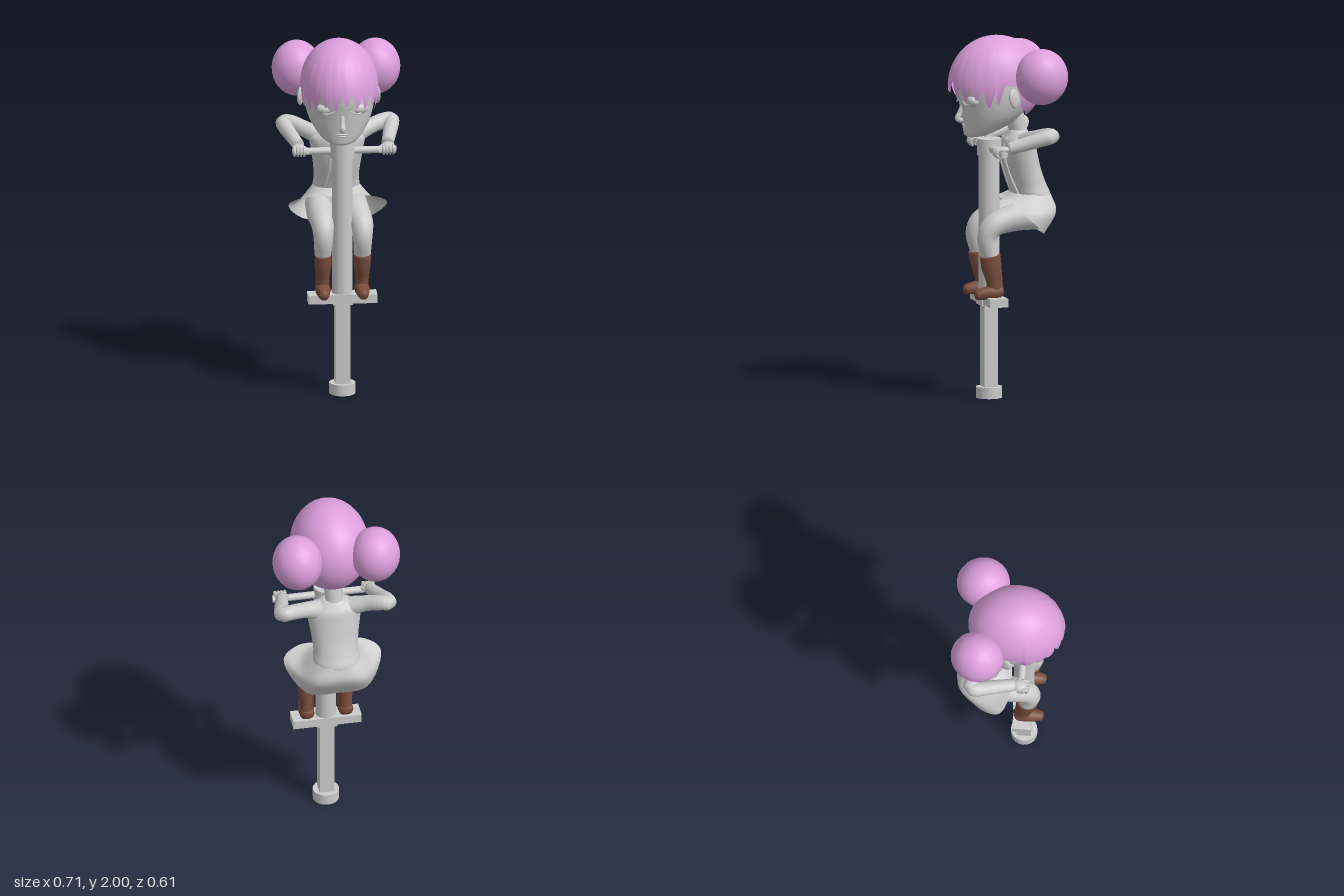
import * as THREE from 'three';

const V = (x, y, z) => new THREE.Vector3(x, y, z);
const grey = new THREE.MeshStandardMaterial({ color: 0xcccccc });
const greyOpen = new THREE.MeshStandardMaterial({ color: 0xcccccc, side: THREE.DoubleSide });
const pink = new THREE.MeshStandardMaterial({ color: 0xdda0dd });
const pinkOpen = new THREE.MeshStandardMaterial({ color: 0xdda0dd, side: THREE.DoubleSide });
const brown = new THREE.MeshStandardMaterial({ color: 0x7a4d3c });

// Skin a list of closed rings; ends are capped unless open
function loft(rings, open = false) {
  const n = rings[0].length, pos = [], idx = [];
  rings.forEach(r => r.forEach(p => pos.push(p.x, p.y, p.z)));
  for (let i = 0; i < rings.length - 1; i++)
    for (let j = 0; j < n; j++) {
      const a = i * n + j, b = i * n + (j + 1) % n;
      idx.push(a, b, a + n, b, b + n, a + n);
    }
  if (!open) [0, rings.length - 1].forEach((i, end) => {
    const c = V(0, 0, 0);
    rings[i].forEach(p => c.addScaledVector(p, 1 / n));
    const k = pos.length / 3;
    pos.push(c.x, c.y, c.z);
    for (let j = 0; j < n; j++) {
      const a = i * n + j, b = i * n + (j + 1) % n;
      if (end) idx.push(k, a, b); else idx.push(k, b, a);
    }
  });
  const g = new THREE.BufferGeometry();
  g.setAttribute('position', new THREE.Float32BufferAttribute(pos, 3));
  g.setIndex(idx);
  g.computeVertexNormals();
  return g;
}

// Body from rows of [y, half width, front z, back z], smoothed between rows
function body(rows, n = 32, steps = 36) {
  const a = new THREE.CatmullRomCurve3(rows.map(r => V(r[0], r[1], r[2])));
  const b = new THREE.CatmullRomCurve3(rows.map(r => V(r[0], r[1], r[3])));
  const rings = [];
  for (let i = 0; i <= steps; i++) {
    const p = a.getPoint(i / steps), q = b.getPoint(i / steps);
    rings.push(Array.from({ length: n }, (_, j) => {
      const t = j / n * Math.PI * 2;
      return V(p.y * Math.sin(t), p.x, (p.z + q.z) / 2 + (p.z - q.z) / 2 * Math.cos(t));
    }));
  }
  return loft(rings);
}

// Tube with a radius at each path point
function limb(points, radii, n = 16, steps = 24) {
  const curve = new THREE.CatmullRomCurve3(points, false, 'centripetal');
  const f = curve.computeFrenetFrames(steps), rings = [];
  for (let i = 0; i <= steps; i++) {
    const c = curve.getPointAt(i / steps);
    const t = curve.getUtoTmapping(i / steps) * (radii.length - 1);
    const k = Math.min(Math.floor(t), radii.length - 2);
    const r = THREE.MathUtils.lerp(radii[k], radii[k + 1], t - k);
    rings.push(Array.from({ length: n }, (_, j) => {
      const a = j / n * Math.PI * 2;
      return c.clone().addScaledVector(f.normals[i], r * Math.cos(a)).addScaledVector(f.binormals[i], r * Math.sin(a));
    }));
  }
  return loft(rings);
}

// Hair cap: a dome whose lower edge is cut into strands, ear gaps and nape
function hairCap() {
  const edge = [[0, 1.68], [0.6, 1.665], [1.2, 1.63], [1.4, 1.64], [1.52, 1.75], [1.78, 1.74], [2.0, 1.62], [2.4, 1.57], [3.2, 1.57]];
  const n = 180, steps = 24, rings = [];
  for (let i = 0; i <= steps; i++) {
    const t = Math.max(1 - i / steps, 0.004), ring = [];
    for (let j = 0; j < n; j++) {
      let a = j / n * Math.PI * 2;
      if (a > Math.PI) a -= Math.PI * 2;
      const d = Math.abs(a);
      const k = edge.findIndex(e => e[0] > d) - 1;
      let y = THREE.MathUtils.mapLinear(d, edge[k][0], edge[k + 1][0], edge[k][1], edge[k + 1][1]);
      let push = 1;
      if (d < 1.33) {
        const u = (a + 0.05) / 0.27 + 20;
        const gap = Math.abs((u - Math.floor(u)) * 2 - 1);
        y += 0.085 * Math.pow(gap, 1.3) + 0.014 * Math.sin(a * 9);
        push += 0.05 * t ** 4 + 0.035 * (0.5 - gap) * t * t;
      }
      const th = t * Math.acos((y - 1.75) / 0.25), r = Math.sin(th) * push;
      ring.push(V(0.213 * r * Math.sin(a), 1.75 + 0.25 * Math.cos(th), 0.03 + 0.26 * r * Math.cos(a)));
    }
    rings.push(ring);
  }
  return loft(rings, true);
}

// Skirt skinned over three half outlines, front to back
function skirt() {
  const halves = [
    [[0, 1.10, 0.01], [0.18, 1.10, 0.01], [0.27, 1.05, -0.04], [0.17, 0.92, -0.19], [0, 0.91, -0.21]],
    [[0, 1.11, -0.02], [0.14, 1.10, -0.03], [0.2, 1.05, -0.13], [0.14, 1.03, -0.265], [0, 1.04, -0.288]],
    [[0, 1.13, -0.05], [0.09, 1.13, -0.07], [0.128, 1.125, -0.15], [0.09, 1.12, -0.25], [0, 1.12, -0.268]],
  ];
  const loops = halves.map(h => {
    const right = h.map(p => V(...p));
    const left = right.slice(1, 4).reverse().map(p => V(-p.x, p.y, p.z));
    return new THREE.CatmullRomCurve3([...right, ...left], true);
  });
  const rings = Array.from({ length: 11 }, () => []);
  for (let j = 0; j < 48; j++) {
    const c = new THREE.CatmullRomCurve3(loops.map(l => l.getPoint(j / 48)));
    rings.forEach((r, i) => r.push(c.getPoint(i / 10)));
  }
  return loft(rings, true);
}

export function createModel() {
  const model = new THREE.Group();
  const add = (name, geo, mat = grey, x = 0, y = 0, z = 0) => {
    const m = new THREE.Mesh(geo, mat);
    m.name = name;
    m.position.set(x, y, z);
    model.add(m);
    return m;
  };
  const ball = (name, mat, x, y, z, sx, sy, sz) => {
    const m = add(name, new THREE.SphereGeometry(1, 28, 18), mat, x, y, z);
    m.scale.set(sx, sy, sz);
    return m;
  };
  const cyl = (r, h) => new THREE.CylinderGeometry(r, r, h, 24);

  // Pogo stick
  const px = 0.013, pz = 0.075;
  add('stickFoot', cyl(0.072, 0.062), grey, px, 0.031, pz);
  add('lowerShaft', new THREE.BoxGeometry(0.082, 0.48, 0.078), grey, px, 0.29, pz);
  add('upperTube', cyl(0.057, 0.9), grey, px, 0.97, pz);
  add('topCollar', cyl(0.067, 0.092), grey, px, 1.388, pz);
  add('footPlatform', new THREE.BoxGeometry(0.38, 0.048, 0.105), grey, px, 0.546, pz);
  add('platformBracket', new THREE.BoxGeometry(0.11, 0.06, 0.116), grey, px, 0.545, pz);
  add('handlebar', cyl(0.02, 0.57), grey, 0.025, 1.382, pz).rotation.z = Math.PI / 2;

  // Head and face
  add('head', body([
    [1.445, 0.03, 0.195, 0.14], [1.455, 0.07, 0.21, 0.09], [1.48, 0.107, 0.215, 0.03], [1.52, 0.14, 0.22, -0.05],
    [1.57, 0.168, 0.226, -0.11], [1.63, 0.186, 0.235, -0.155], [1.7, 0.195, 0.248, -0.19], [1.8, 0.19, 0.25, -0.19],
    [1.9, 0.15, 0.2, -0.14], [1.96, 0.08, 0.12, -0.06]]));
  add('nose', limb([V(0, 1.64, 0.215), V(0, 1.58, 0.238), V(0, 1.548, 0.25), V(0, 1.535, 0.225)], [0.012, 0.014, 0.017, 0.014]));
  ball('upperLip', grey, 0, 1.512, 0.214, 0.036, 0.006, 0.01);
  ball('lowerLip', grey, 0, 1.5, 0.211, 0.026, 0.007, 0.011);
  add('neck', limb([V(0, 1.4, -0.1), V(0, 1.48, -0.092), V(0, 1.6, -0.06)], [0.06, 0.05, 0.055]));

  // Hair
  add('hair', hairCap(), pinkOpen);

  // Jacket and skirt
  add('jacket', body([
    [1.08, 0.125, -0.07, -0.275], [1.12, 0.13, -0.06, -0.272], [1.17, 0.124, -0.045, -0.25], [1.25, 0.13, -0.02, -0.22],
    [1.35, 0.145, 0, -0.195], [1.415, 0.15, -0.005, -0.18], [1.45, 0.105, -0.03, -0.16], [1.475, 0.055, -0.045, -0.142]]));
  add('skirt', skirt(), greyOpen);
  ball('hips', grey, 0, 1.035, -0.165, 0.15, 0.1, 0.105);

  for (const s of [-1, 1]) {
    ball('eyelid', grey, s * 0.09, 1.655, 0.19, 0.055, 0.034, 0.038);
    add('lashLine', limb([V(s * 0.04, 1.648, 0.232), V(s * 0.09, 1.632, 0.226), V(s * 0.14, 1.65, 0.188)], [0.003, 0.006, 0.003], 8));
    const ear = ball('ear', grey, s * 0.208, 1.675, -0.01, 0.016, 0.055, 0.036);
    ear.rotation.set(0.15, s * 0.5, 0);
    ball('hairBun', pink, s * 0.217, 1.79, -0.165, 0.136, 0.154, 0.146).rotation.y = s * 0.15;
    add('jacketEdge', limb([V(s * 0.035, 1.44, -0.022), V(s * 0.045, 1.36, -0.002), V(s * 0.05, 1.25, -0.026), V(s * 0.075, 1.11, -0.08)],
      [0.007, 0.008, 0.008, 0.007], 8));

    // Arm, bent at the elbow and reaching to the bar
    const hx = s > 0 ? 0.265 : -0.225, ex = s > 0 ? 0.305 : -0.285;
    add('sleeve', limb([V(s * 0.08, 1.41, -0.1), V(s * 0.17, 1.445, -0.14), V(ex - s * 0.03, 1.473, -0.19), V(ex, 1.472, -0.195),
      V(ex, 1.465, -0.16), V((hx + ex) / 2, 1.435, -0.06), V(hx, 1.408, 0.04)], [0.055, 0.044, 0.042, 0.042, 0.042, 0.038, 0.034], 16, 40));
    ball('palm', grey, hx, 1.405, 0.068, 0.034, 0.017, 0.038);
    for (let i = 0; i < 4; i++) {
      const fx = hx + (i - 1.5) * 0.018;
      add('finger', limb([V(fx, 1.408, 0.08), V(fx, 1.404, 0.105), V(fx, 1.385, 0.115), V(fx, 1.362, 0.102)], [0.009, 0.0095, 0.009, 0.006], 8, 12));
    }
    add('thumb', limb([V(hx - s * 0.022, 1.4, 0.05), V(hx - s * 0.045, 1.39, 0.075), V(hx - s * 0.045, 1.37, 0.098)], [0.011, 0.01, 0.007], 8, 12));

    // Leg and boot
    const lx = px + s * 0.108;
    add('leg', limb([V(s * 0.09, 1.01, -0.17), V(s * 0.1, 0.998, -0.02), V(lx, 0.96, 0.088), V(lx, 0.9, 0.12), V(lx, 0.79, 0.1)],
      [0.08, 0.074, 0.062, 0.054, 0.046], 20, 36));
    const shaft = limb([V(0, 0.8, 0.102), V(0, 0.74, 0.094), V(0, 0.66, 0.078), V(0, 0.58, 0.07)], [0.058, 0.057, 0.046, 0.045], 20);
    add('bootShaft', shaft, brown, lx).scale.x = 0.82;
    const foot = limb([V(0, 0.595, 0.028), V(0, 0.598, 0.045), V(0, 0.595, 0.1), V(0, 0.588, 0.15), V(0, 0.583, 0.183), V(0, 0.582, 0.19)],
      [0.02, 0.04, 0.042, 0.034, 0.026, 0.008], 20);
    const p = foot.attributes.position;
    for (let i = 0; i < p.count; i++) p.setY(i, Math.max(p.getY(i), 0.56));
    foot.computeVertexNormals();
    add('bootFoot', foot, brown, lx);
  }
  return model;
}
